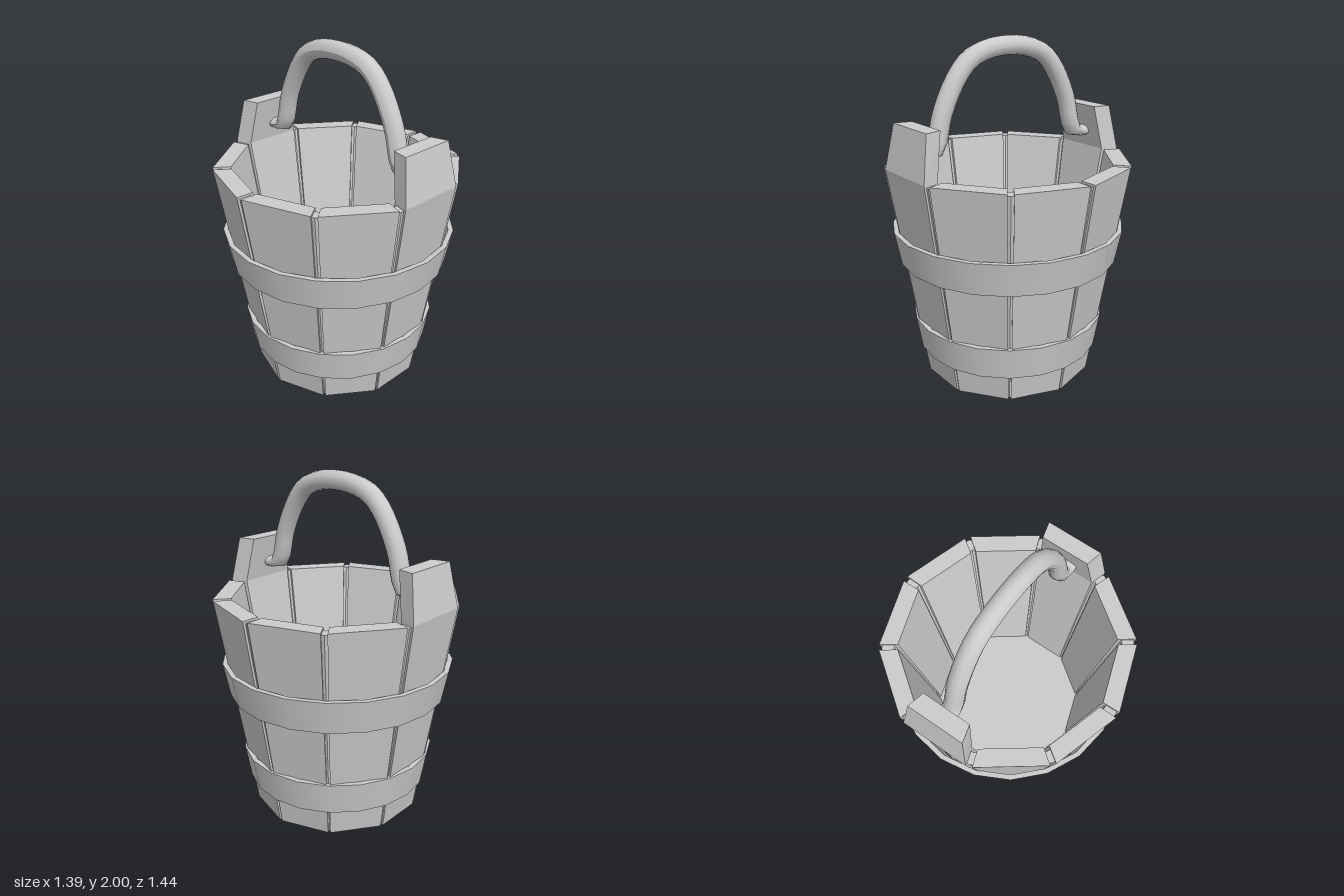
import * as THREE from 'three';

const STAVES = 10;
const material = new THREE.MeshStandardMaterial({ color: 0xcccccc });

// Flat-shaded board lofted through levels [y, inner, outer, halfInner, halfOuter]; radial axis is +x.
function staveGeometry(levels) {
  const rings = levels.map(([y, ri, ro, hi, ho]) =>
    [[ro, y, ho], [ro, y, -ho], [ri, y, -hi], [ri, y, hi]]);
  const pos = [];
  const quad = (a, b, c, d) => pos.push(...a, ...b, ...c, ...a, ...c, ...d);
  for (let k = 0; k < rings.length - 1; k++) {
    for (let j = 0; j < 4; j++) {
      const n = (j + 1) % 4;
      quad(rings[k][j], rings[k][n], rings[k + 1][n], rings[k + 1][j]);
    }
  }
  quad(...rings[rings.length - 1]);
  quad(...[...rings[0]].reverse());
  const g = new THREE.BufferGeometry();
  g.setAttribute('position', new THREE.Float32BufferAttribute(pos, 3));
  g.computeVertexNormals();
  return g;
}

// Lathe with hard edges along the profile; smooth around unless faceted.
function lathe(points, segments, faceted) {
  const v = points.map(([x, y]) => new THREE.Vector2(x, y));
  let g = new THREE.LatheGeometry(v, segments);
  if (faceted) {
    g = g.toNonIndexed();
    g.computeVertexNormals();
  }
  return g;
}

function addMesh(parent, name, geometry) {
  const mesh = new THREE.Mesh(geometry, material);
  mesh.name = name;
  parent.add(mesh);
  return mesh;
}

export function createModel() {
  const model = new THREE.Group();
  model.name = 'bucket';

  // Tub, turned slightly relative to the handle
  const tub = new THREE.Group();
  tub.name = 'tub';
  tub.rotation.y = 0.033;
  model.add(tub);

  // Staves: the two on the x axis rise higher and lean inwards to carry the handle
  const body = [[0, 0.385, 0.485, 0.118, 0.15], [1.3, 0.59, 0.69, 0.176, 0.206]];
  const shortStave = staveGeometry(body);
  const tallStave = staveGeometry([...body, [1.56, 0.545, 0.645, 0.145, 0.17]]);
  for (let i = 0; i < STAVES; i++) {
    const tall = i % (STAVES / 2) === 0;
    const stave = addMesh(tub, tall ? 'handleStave' : 'stave', tall ? tallStave : shortStave);
    stave.rotation.y = (i / STAVES) * Math.PI * 2;
  }

  // Recessed core closing the gaps between the staves, with the floor
  addMesh(tub, 'core', lathe([
    [0, 0.003], [0.496, 0.003], [0.708, 1.288], [0.638, 1.288], [0.468, 0.34], [0, 0.34],
  ], STAVES, true));

  // Hoops: tapered bands built from separate faces so the rims stay sharp
  const hoops = [
    ['lowerHoop', 0.16, 0.355, 0.545, 0.578],
    ['upperHoop', 0.715, 0.91, 0.648, 0.686],
  ];
  for (const [name, y0, y1, r0, r1] of hoops) {
    const hoop = new THREE.Group();
    hoop.name = name;
    const t = 0.03;
    const section = [[r0, y0], [r1, y1], [r1 - t, y1], [r0 - t, y0]];
    section.forEach((p, i) =>
      addMesh(hoop, name + 'Face', lathe([p, section[(i + 1) % 4]], 20, false)));
    tub.add(hoop);
  }

  // Handle: bent rod whose flattened ends run into the tall staves
  const half = [
    [0.6, 1.397], [0.51, 1.4], [0.472, 1.45], [0.43, 1.61],
    [0.335, 1.795], [0.245, 1.89], [0.13, 1.933],
  ];
  const path = [
    ...half.map(([x, y]) => new THREE.Vector3(-x, y, 0)),
    new THREE.Vector3(0, 1.945, 0),
    ...half.map(([x, y]) => new THREE.Vector3(x, y, 0)).reverse(),
  ];
  const rod = new THREE.TubeGeometry(new THREE.CatmullRomCurve3(path), 32, 0.055, 12);
  const p = rod.attributes.position;
  for (let i = 0; i < p.count; i++) {
    if (Math.abs(p.getX(i)) > 0.5 && p.getY(i) < 1.46) {
      p.setY(i, 1.398 + (p.getY(i) - 1.398) * 0.62);
    }
  }
  rod.computeVertexNormals();
  addMesh(model, 'handle', rod);

  return model;
}
